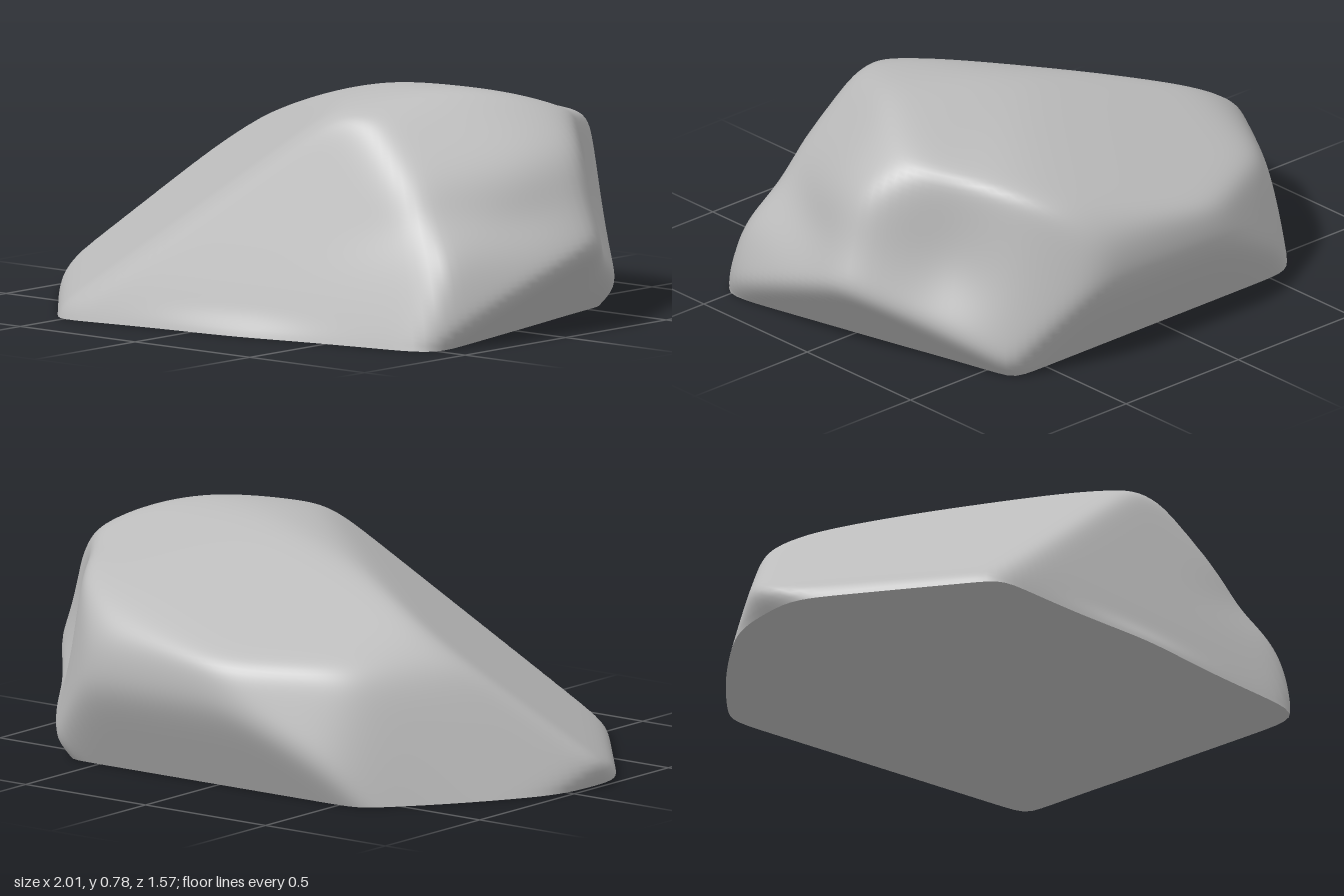
import * as THREE from 'three';
import { mergeVertices } from 'three/addons/utils/BufferGeometryUtils.js';

// Facets of the boulder: normal x, y, z and distance from the origin
const FACETS = [
  [0.13, 0.26, 0.73, 0.525],      // big sloping front face
  [-0.303, 0.526, 0.272, 0.392],  // front face on the -x side
  [0.17, 0.05, 1, 0.725],         // low front edge
  [-0.76, 0, 0.65, 0.915],        // front corner on the -x side
  [0.8, 0, 0.6, 1.02],            // front corner on the +x side
  [-1, -0.8, 0, 0.98],            // tip on the -x side
  [-0.87, 0.3, -0.49, 0.87],      // steep lower slope on the -x side
  [-0.75, 0.1, -0.66, 0.84],      // lower back corner on the -x side
  [-0.55, 0.75, -0.35, 0.81],     // upper slope on the -x side
  [-0.28, 1, 0.12, 0.72],         // shoulder behind the front crease
  [-0.2, 1, -0.39, 0.775],        // shoulder, falling to the back
  [-0.05, 1, 0, 0.78],            // top
  [0, 1, -0.25, 0.8],             // top, falling to the back
  [0, 1, 0.25, 0.825],            // top, falling to the front
  [0.6, 0.8, 0, 1.05],            // top edge on the +x side
  [0.7, 0.8, 0.5, 1.085],         // top front corner on the +x side
  [0, 0.6, -0.8, 0.91],           // upper back
  [0, 0, -1, 0.787],              // back
  [0, -0.51, -0.86, 0.525],       // undercut back
  [-0.46, 0.25, -0.88, 0.85],     // back corner on the -x side
  [0.6, 0.1, -0.8, 0.92],         // back corner on the +x side
  [0.78, 0.2, -0.62, 0.96],       // hollowed face
  [1, 0.3, 0.25, 1.08],           // upper face on the +x side
  [1.05, -1.04, -0.25, 0.82],     // undercut face on the +x side
];
const SHARPNESS = 36;

// Soft hollows: angle around y, height of the direction, their widths, depth
const HOLLOWS = [
  [-0.48, 0.43, 0.22, 0.24, 0.06],  // upright valley at the back of the +x side
  [0.22, 0.42, 0.34, 0.12, 0.04],   // hollow above the ledge on the +x side
  [1.35, 0, 0.35, 0.07, -0.02],     // slight flare at the foot of the front
];

const bell = (x, width) => Math.exp(-((x / width) ** 2));

// Distance to the rounded intersection of all facets along a direction
function radius(d) {
  let sum = 0;
  for (const [x, y, z, dist] of FACETS) {
    const k = (x * d.x + y * d.y + z * d.z) / dist;
    if (k > 0) sum += Math.pow(k, SHARPNESS);
  }
  let r = Math.pow(sum, -1 / SHARPNESS);
  const angle = Math.atan2(d.z, d.x);
  for (const [a, h, aWidth, hWidth, depth] of HOLLOWS) {
    r -= depth * bell(angle - a, aWidth) * bell(d.y - h, hWidth);
  }
  return r;
}

export function createModel() {
  const group = new THREE.Group();
  group.name = 'boulder';
  const stone = new THREE.MeshStandardMaterial({ color: 0xbcbcbc });
  stone.name = 'grey stone';

  // Body: half sphere pushed out to the facets
  const segments = 180;
  const dome = new THREE.SphereGeometry(1, segments, 90, 0, Math.PI * 2, 0, Math.PI / 2);
  dome.deleteAttribute('uv');
  dome.deleteAttribute('normal');
  const p = dome.attributes.position;
  const v = new THREE.Vector3();
  for (let i = 0; i < p.count; i++) {
    v.fromBufferAttribute(p, i).normalize();
    v.multiplyScalar(radius(v));
    p.setXYZ(i, v.x, v.y, v.z);
  }

  // Flat underside, sharing the last ring of the body
  const rim = [];
  for (let i = p.count - segments - 1; i < p.count - 1; i++) {
    rim.push(new THREE.Vector2(p.getX(i), p.getZ(i)));
  }
  const base = new THREE.ShapeGeometry(new THREE.Shape(rim));
  base.rotateX(Math.PI / 2);

  const bodyGeometry = mergeVertices(dome, 1e-5);
  bodyGeometry.computeVertexNormals();
  const body = new THREE.Mesh(bodyGeometry, stone);
  body.name = 'rockBody';
  const underside = new THREE.Mesh(base, stone);
  underside.name = 'underside';
  group.add(body, underside);
  return group;
}
